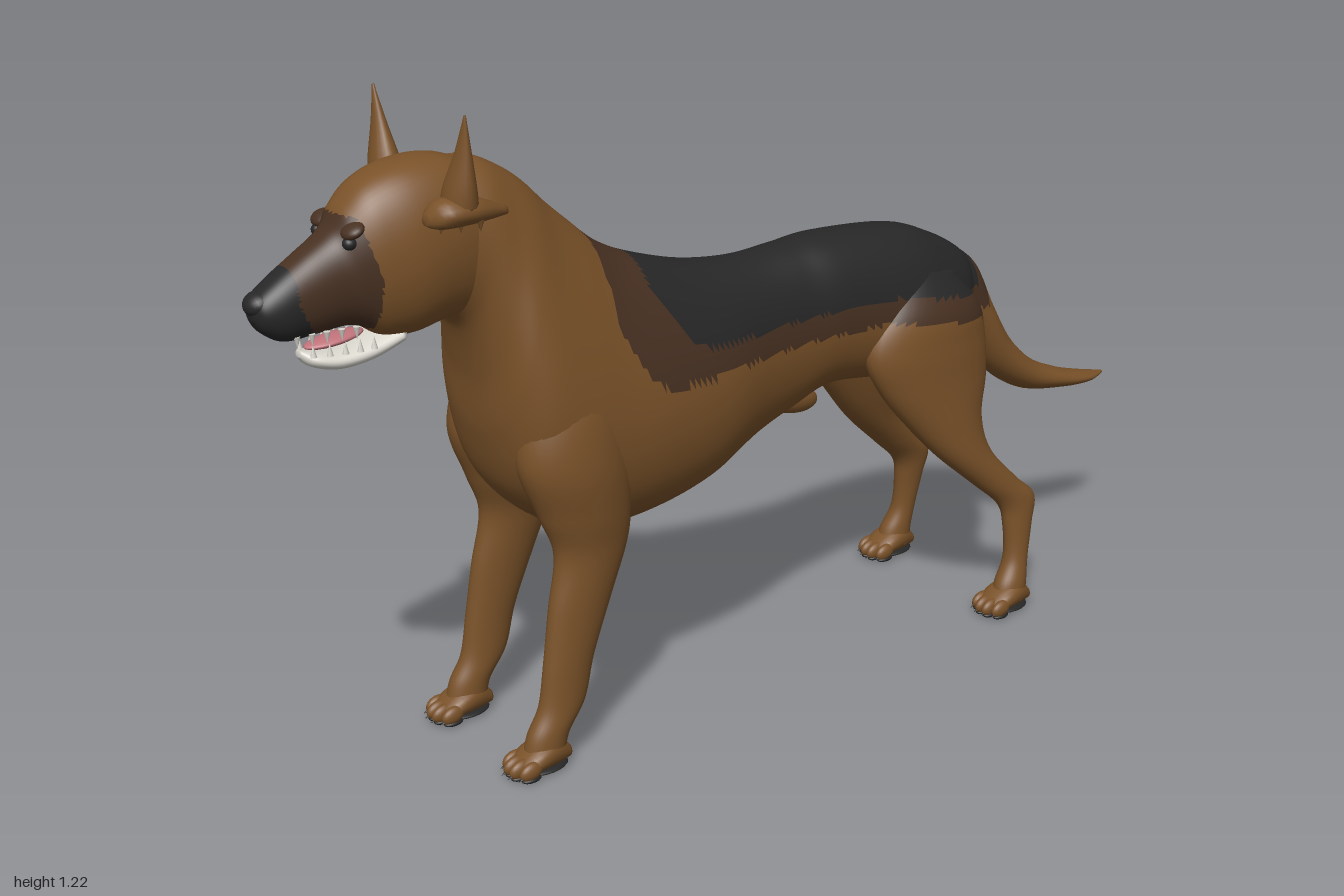
import * as THREE from 'three';

const mat = (name, color) => Object.assign(new THREE.MeshStandardMaterial({ color }), { name });

// Uniform Catmull-Rom blend of four numbers
const spline = (a, b, c, d, t) =>
  b + 0.5 * t * (c - a + t * (2 * a - 5 * b + 4 * c - d + t * (3 * (b - c) + d - a)));

// Smooth skin over stations [x, z1, y1, z2, y2, halfWidth, egg].
// (z1,y1) is the upper or front edge of a ring, (z2,y2) the lower or back one.
// Stations run forwards (body parts) or downwards (limbs). paint(x,y,z) picks a material index.
function loft(name, stations, materials, paint = () => 0, steps = 8, sides = 32, power = 1) {
  const pos = [], faces = materials.map(() => []), n = stations.length;
  const at = i => stations[Math.max(0, Math.min(n - 1, i))];
  const rings = (n - 1) * steps + 1;
  for (let r = 0; r < rings; r++) {
    const i = Math.min(n - 2, Math.floor(r / steps)), t = r / steps - i;
    const [x, z1, y1, z2, y2, w, egg] = [0, 1, 2, 3, 4, 5, 6].map(k =>
      spline(at(i - 1)[k] || 0, at(i)[k] || 0, at(i + 1)[k] || 0, at(i + 2)[k] || 0, t));
    for (let j = 0; j < sides; j++) {
      const a = (j / sides) * Math.PI * 2, c = Math.cos(a), s = Math.sin(a);
      const side = Math.sign(s) * Math.abs(s) ** power * Math.max(w, 0.001) * (1 - egg * c);
      pos.push(x + side, (y1 + y2) / 2 + c * (y1 - y2) / 2, (z1 + z2) / 2 + c * (z1 - z2) / 2);
    }
  }
  const ends = [at(0), at(n - 1)].map(s => {
    pos.push(s[0], (s[2] + s[4]) / 2, (s[1] + s[3]) / 2);
    return pos.length / 3 - 1;
  });
  const add = (...f) => {
    const mid = k => f.reduce((sum, v) => sum + pos[v * 3 + k], 0) / 3;
    faces[paint(mid(0), mid(1), mid(2))].push(...f);
  };
  for (let j = 0; j < sides; j++) {
    const k = (j + 1) % sides, last = (rings - 1) * sides;
    for (let r = 0; r < rings - 1; r++) {
      const p = r * sides, q = p + sides;
      add(p + j, q + j, p + k);
      add(q + j, q + k, p + k);
    }
    add(ends[0], j, k);
    add(ends[1], last + k, last + j);
  }
  const geo = new THREE.BufferGeometry();
  geo.setAttribute('position', new THREE.Float32BufferAttribute(pos, 3));
  geo.setIndex(faces.flat());
  let start = 0;
  faces.forEach((f, m) => { geo.addGroup(start, f.length, m); start += f.length; });
  geo.computeVertexNormals();
  const mesh = new THREE.Mesh(geo, materials);
  mesh.name = name;
  return mesh;
}

export function createModel() {
  const dog = new THREE.Group();
  dog.name = 'dog';
  const tan = mat('tan coat', 0x7a5229), dark = mat('dark brown coat', 0x483122);
  const black = mat('black coat', 0x272727), white = mat('white teeth', 0xd8d5cc);
  const pink = mat('pink tongue', 0xc0727a);
  const coat = [tan, dark, black];

  const ball = (name, m, x, y, z, rx, ry, rz, tilt = 0) => {
    const b = new THREE.Mesh(new THREE.SphereGeometry(1, 20, 14), m);
    b.name = name;
    b.position.set(x, y, z);
    b.scale.set(rx, ry, rz);
    b.rotation.x = tilt;
    dog.add(b);
  };
  const cone = (name, m, x, y, z, r, h, rotX = 0) => {
    const c = new THREE.Mesh(new THREE.ConeGeometry(r, h, 8), m);
    c.name = name;
    c.position.set(x, y, z);
    c.rotation.x = rotX;
    dog.add(c);
  };

  // Saddle marking: black back with a dark brown border
  const saddle = (x, y, z) => {
    const drop = z < -0.3 ? (z + 0.3) * 0.15 : 0;
    const bend = (from, len) => Math.max(0, (z - from) / len) ** 3 * 0.13;
    if (z < 0.265 && z > -0.58 && y > 0.712 + drop + bend(0.1, 0.165)) return 2;
    const front = 0.36 + Math.max(0, 0.04 - Math.abs(x)) * 0.8;
    return z < front && z > -0.615 && y > 0.665 + drop + bend(0.22, 0.14) ? 1 : 0;
  };
  // Face marking: brown mask with a black muzzle end
  const mask = (x, y, z) => {
    if (z > 0.925 - Math.max(0, 0.93 - y) * 0.5) return 2;
    return z > 0.79 + Math.max(0, y - 0.95) * 0.25 && y < 1.06 && y > 0.862 ? 1 : 0;
  };

  // Trunk and neck, rump to nape
  dog.add(loft('body', [
    [0, -0.59, 0.71, -0.56, 0.63, 0.03],
    [0, -0.55, 0.75, -0.54, 0.57, 0.075, 0.1],
    [0, -0.48, 0.79, -0.47, 0.53, 0.105, 0.15],
    [0, -0.38, 0.825, -0.36, 0.52, 0.12, 0.1],
    [0, -0.2, 0.84, -0.2, 0.535, 0.11],
    [0, -0.1, 0.835, -0.1, 0.505, 0.105],
    [0, 0, 0.83, 0, 0.47, 0.115],
    [0, 0.12, 0.845, 0.12, 0.42, 0.142, 0.08],
    [0, 0.25, 0.885, 0.25, 0.395, 0.158, 0.15],
    [0, 0.33, 0.925, 0.37, 0.395, 0.165, 0.22],
    [0, 0.39, 0.975, 0.47, 0.43, 0.167, 0.25],
    [0, 0.44, 1.02, 0.55, 0.51, 0.16, 0.25],
    [0, 0.48, 1.06, 0.585, 0.62, 0.142, 0.18],
    [0, 0.52, 1.09, 0.595, 0.73, 0.12, 0.1],
    [0, 0.57, 1.115, 0.615, 0.82, 0.104],
    [0, 0.62, 1.12, 0.65, 0.86, 0.092],
  ], coat, saddle, 10, 72, 0.88));
  ball('sheath', tan, 0, 0.515, -0.13, 0.025, 0.03, 0.07, -0.25);

  // Tail, tip to root
  dog.add(loft('tail', [
    [0.015, -1, 0.382, -1, 0.376, 0.005],
    [0.015, -0.94, 0.395, -0.94, 0.372, 0.03],
    [0.015, -0.86, 0.42, -0.85, 0.38, 0.042],
    [0.012, -0.77, 0.463, -0.74, 0.403, 0.047],
    [0.008, -0.7, 0.53, -0.645, 0.47, 0.05],
    [0.004, -0.645, 0.62, -0.585, 0.57, 0.052],
    [0, -0.6, 0.71, -0.54, 0.65, 0.05],
    [0, -0.54, 0.755, -0.5, 0.68, 0.04],
  ], coat, saddle, 8, 32));

  // Head, nape to nose
  dog.add(loft('head', [
    [0, 0.56, 1.1, 0.6, 0.85, 0.09],
    [0, 0.64, 1.13, 0.66, 0.845, 0.1],
    [0, 0.72, 1.13, 0.715, 0.835, 0.101],
    [0, 0.785, 1.108, 0.765, 0.84, 0.088],
    [0, 0.825, 1.072, 0.8, 0.862, 0.072],
    [0, 0.85, 1.035, 0.83, 0.87, 0.06],
    [0, 0.9, 1.003, 0.88, 0.867, 0.052],
    [0, 0.95, 0.972, 0.94, 0.865, 0.045],
    [0, 0.982, 0.948, 0.975, 0.885, 0.033],
    [0, 0.993, 0.928, 0.99, 0.908, 0.012],
  ], coat, mask, 8, 56, 0.8));
  ball('nose', black, 0, 0.935, 0.975, 0.028, 0.02, 0.025, 0.4);

  // Open mouth
  dog.add(loft('lowerJaw', [
    [0, 0.735, 0.86, 0.735, 0.825, 0.05],
    [0, 0.8, 0.842, 0.79, 0.806, 0.049],
    [0, 0.85, 0.835, 0.85, 0.8, 0.043],
    [0, 0.89, 0.838, 0.895, 0.812, 0.03],
    [0, 0.91, 0.842, 0.912, 0.83, 0.008],
  ], [white], undefined, 6, 28, 0.8));
  ball('tongue', pink, 0, 0.848, 0.845, 0.026, 0.009, 0.055, 0.1);

  for (const s of [-1, 1]) {
    ball('eye', black, s * 0.052, 1.02, 0.833, 0.012, 0.011, 0.012);
    ball('brow', dark, s * 0.05, 1.04, 0.825, 0.024, 0.011, 0.02, 0.5);
    for (let i = 0; i < 5; i++) {
      const z = 0.8 + i * 0.025, x = s * (0.046 - i * i * 0.0014);
      cone('lowerTooth', white, x, 0.843, z - 0.005, 0.006, 0.022);
      cone('upperTooth', white, s * (0.044 - i * 0.004), 0.865, z + 0.025, 0.006, 0.022, Math.PI);
    }

    // Pricked ear with a tufted fold below
    dog.add(loft('ear', [
      [s * 0.145, 0.667, 1.222, 0.663, 1.222, 0.002],
      [s * 0.134, 0.676, 1.16, 0.652, 1.16, 0.018],
      [s * 0.121, 0.69, 1.1, 0.64, 1.1, 0.035],
      [s * 0.117, 0.695, 1.065, 0.635, 1.065, 0.037],
    ], [tan], undefined, 4, 16));
    dog.add(loft('earFold', [
      [s * 0.105, 0.57, 1.05, 0.57, 1.035, 0.01],
      [s * 0.118, 0.64, 1.08, 0.64, 1.036, 0.034],
      [s * 0.118, 0.7, 1.085, 0.705, 1.036, 0.034],
      [s * 0.108, 0.725, 1.06, 0.725, 1.042, 0.01],
    ], [tan], undefined, 5, 16));
    for (let i = 0; i < 3; i++)
      cone('earTuft', tan, s * (0.115 + i * 0.012), 1.042, 0.7 - i * 0.03, 0.012, 0.035, Math.PI);

    // Front leg with shoulder
    dog.add(loft('frontLeg', [
      [s * 0.085, 0.5, 0.78, 0.39, 0.78, 0.03],
      [s * 0.1, 0.545, 0.69, 0.36, 0.69, 0.066],
      [s * 0.112, 0.565, 0.58, 0.345, 0.57, 0.073],
      [s * 0.118, 0.53, 0.48, 0.345, 0.47, 0.06],
      [s * 0.123, 0.503, 0.4, 0.355, 0.4, 0.044],
      [s * 0.127, 0.522, 0.3, 0.395, 0.3, 0.035],
      [s * 0.13, 0.538, 0.2, 0.435, 0.2, 0.03],
      [s * 0.131, 0.552, 0.12, 0.457, 0.12, 0.029],
      [s * 0.132, 0.578, 0.07, 0.495, 0.065, 0.03],
      [s * 0.132, 0.59, 0.025, 0.505, 0.02, 0.031],
    ], coat, saddle, 8, 32));

    // Hind leg with thigh and hock
    dog.add(loft('hindLeg', [
      [s * 0.075, -0.35, 0.75, -0.48, 0.73, 0.025],
      [s * 0.088, -0.28, 0.68, -0.535, 0.66, 0.058],
      [s * 0.095, -0.245, 0.6, -0.55, 0.59, 0.062],
      [s * 0.105, -0.275, 0.52, -0.548, 0.51, 0.056],
      [s * 0.12, -0.345, 0.43, -0.525, 0.43, 0.048],
      [s * 0.135, -0.41, 0.36, -0.54, 0.355, 0.04],
      [s * 0.15, -0.495, 0.285, -0.605, 0.28, 0.032],
      [s * 0.16, -0.555, 0.23, -0.65, 0.235, 0.027],
      [s * 0.166, -0.57, 0.18, -0.64, 0.18, 0.025],
      [s * 0.172, -0.57, 0.11, -0.625, 0.11, 0.024],
      [s * 0.177, -0.545, 0.06, -0.618, 0.06, 0.029],
      [s * 0.178, -0.535, 0.025, -0.615, 0.02, 0.031],
    ], coat, saddle, 8, 32));

    // Paws with toes, claws and black pads
    for (const [x, z] of [[s * 0.132, 0.5], [s * 0.178, -0.62]]) {
      dog.add(loft('paw', [
        [x, z - 0.004, 0.035, z, 0.01, 0.018],
        [x, z + 0.03, 0.065, z + 0.03, 0.007, 0.031],
        [x, z + 0.075, 0.052, z + 0.075, 0.007, 0.037],
        [x, z + 0.11, 0.026, z + 0.11, 0.008, 0.026],
      ], [tan], undefined, 5, 20, 0.8));
      for (const t of [-1.5, -0.5, 0.5, 1.5]) {
        const reach = z + 0.108 - Math.abs(t) * 0.01;
        ball('toe', tan, x + t * 0.019, 0.021, reach, 0.0115, 0.017, 0.024, 0.25);
        cone('claw', black, x + t * 0.02, 0.012, reach + 0.022, 0.004, 0.016, 1.9);
        ball('toePad', black, x + t * 0.019, 0.006, reach, 0.011, 0.006, 0.02);
      }
      ball('pad', black, x, 0.007, z + 0.05, 0.034, 0.007, 0.05);
    }
  }
  return dog;
}
